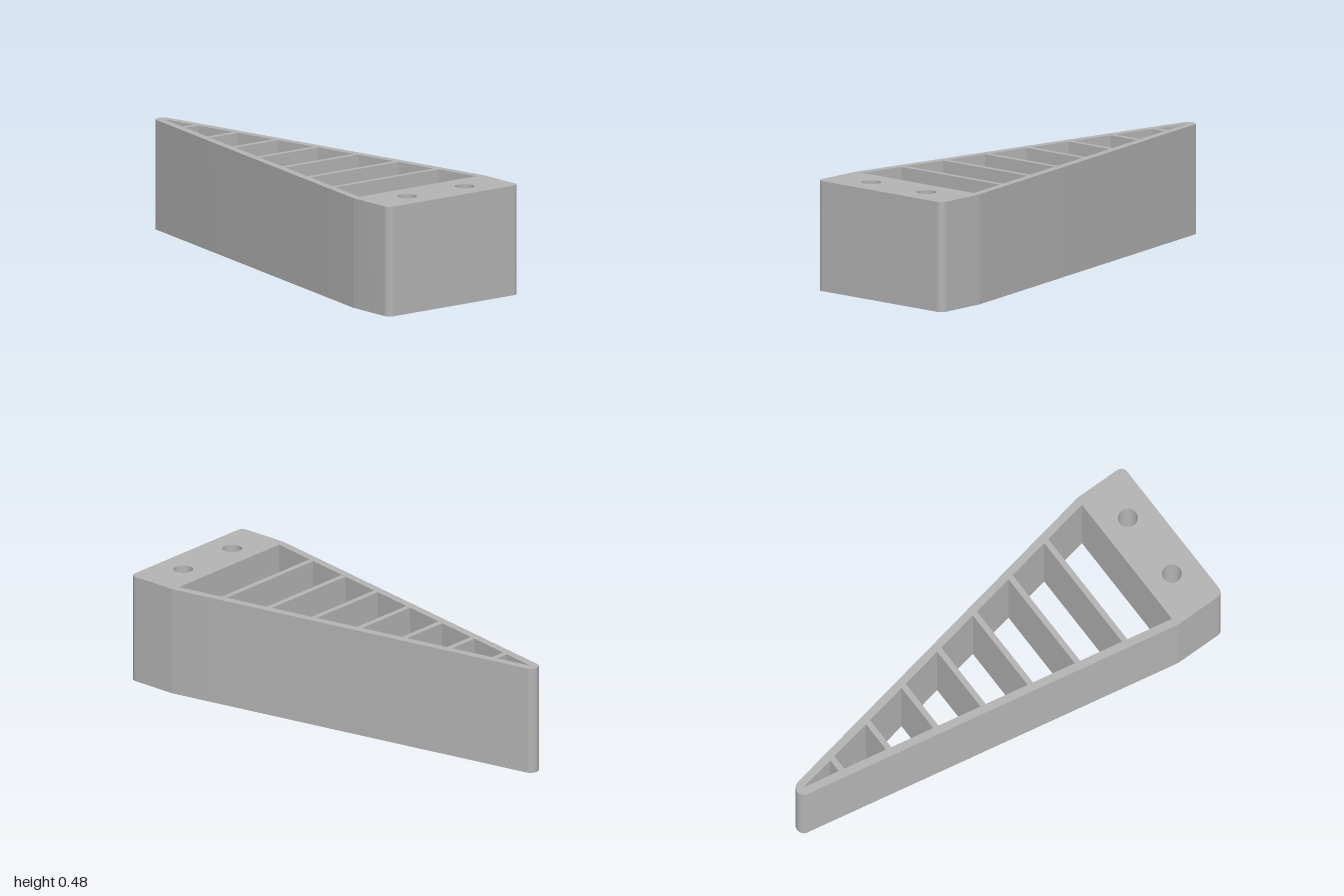
import * as THREE from 'three';
import { toCreasedNormals } from 'three/addons/utils/BufferGeometryUtils.js';

const HEIGHT = 0.48;
const HALF = 0.36;          // half width of the mounting block
const KINK = 0.76;          // z where the straight sides start to taper
const BLOCK_BACK = 0.755;   // z of the block's inner face
const TIP_Z = -0.965, TIP_R = 0.035;
const CORNER = 0.03;
const RIB = 0.025, RIB_FIRST = 0.534, RIB_STEP = 0.2205, RIB_COUNT = 7;

// Plans are drawn in (x, -z) and extruded upwards.
function extrudePlan(shape) {
  const geo = new THREE.ExtrudeGeometry(shape, { depth: HEIGHT, bevelEnabled: false, curveSegments: 48 });
  geo.rotateX(-Math.PI / 2);
  return toCreasedNormals(geo, 0.15);
}

// Tapered outline with rounded front corners and a round tip
function outline() {
  const dx = HALF, dz = KINK - TIP_Z;
  const a = Math.atan2(dx, dz) - Math.asin(TIP_R / Math.hypot(dx, dz)); // taper angle
  const s = new THREE.Shape();
  s.moveTo(-HALF + CORNER, -1);
  s.lineTo(HALF - CORNER, -1);
  s.absarc(HALF - CORNER, -1 + CORNER, CORNER, -Math.PI / 2, 0, false);
  s.lineTo(HALF, -KINK);
  s.absarc(0, -TIP_Z, TIP_R, a, Math.PI - a, false);
  s.lineTo(-HALF, -KINK);
  s.lineTo(-HALF, -1 + CORNER);
  s.absarc(-HALF + CORNER, -1 + CORNER, CORNER, Math.PI, Math.PI * 1.5, false);
  return s;
}

// Half width of the hollow at a given z
const innerX = (z) => 0.323 * (z - TIP_Z) / (BLOCK_BACK - TIP_Z);

// Through-cell between two z positions
function cell(zFront, zBack) {
  const p = new THREE.Path();
  const f = innerX(zFront), b = innerX(zBack);
  p.moveTo(-f, -zFront);
  p.lineTo(-b, -zBack);
  if (b > 0.002) p.lineTo(b, -zBack);
  p.lineTo(f, -zFront);
  p.closePath();
  return p;
}

export function createModel() {
  const model = new THREE.Group();
  model.name = 'ribbedWedge';
  const grey = new THREE.MeshStandardMaterial({ color: 0xb4b4b4 });
  grey.name = 'grey';

  const plan = outline();

  // Cells left between the cross ribs
  let front = BLOCK_BACK;
  for (let i = 0; i < RIB_COUNT; i++) {
    const z = RIB_FIRST - i * RIB_STEP;
    plan.holes.push(cell(front, z + RIB / 2));
    front = z - RIB / 2;
  }
  plan.holes.push(cell(front, TIP_Z));

  // Two vertical screw holes through the block
  for (const side of [-1, 1]) {
    const hole = new THREE.Path();
    hole.absarc(side * 0.158, -0.877, 0.042, 0, Math.PI * 2, true);
    plan.holes.push(hole);
  }

  const body = new THREE.Mesh(extrudePlan(plan), grey);
  body.name = 'wedgeBody';
  model.add(body);
  return model;
}
